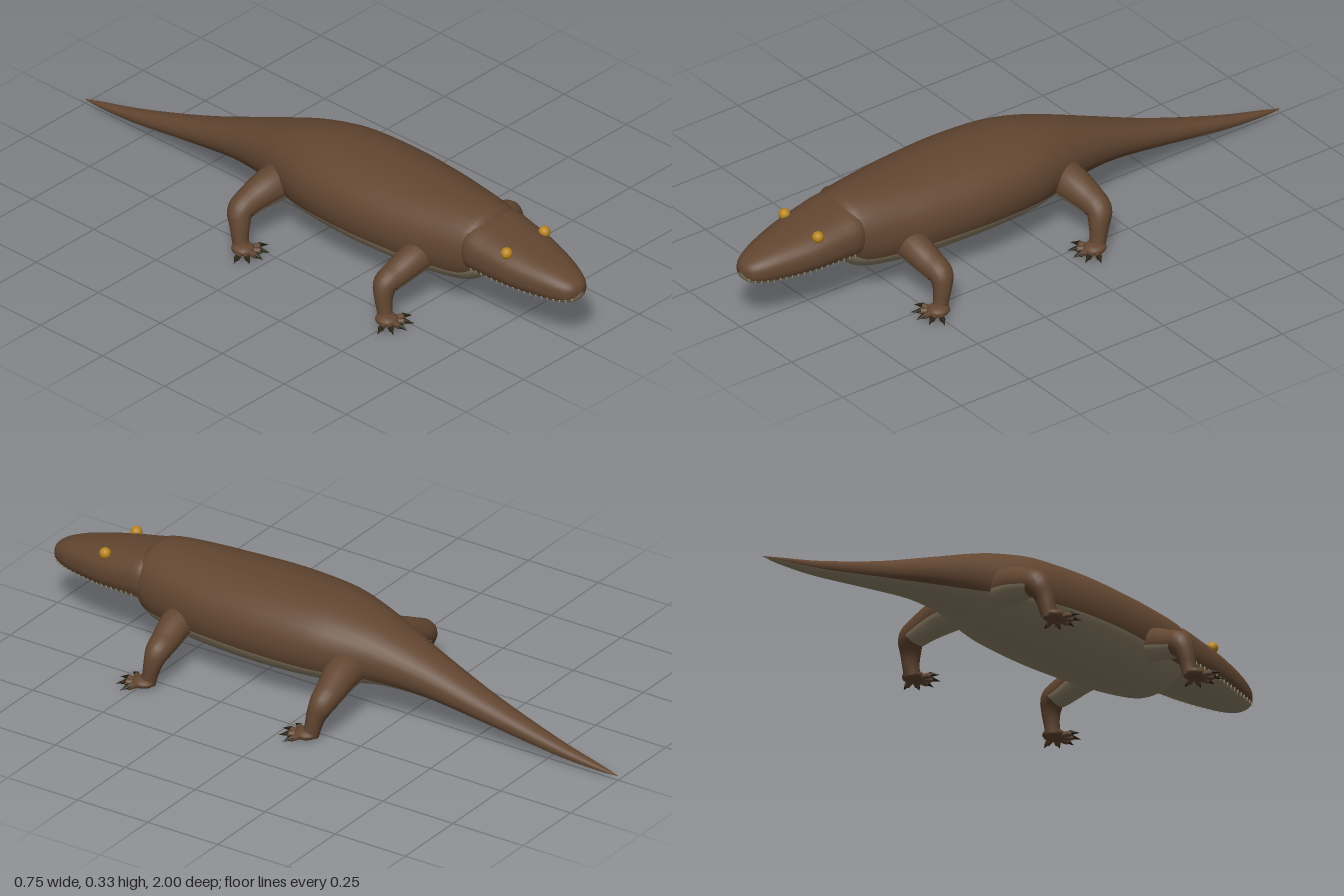
import * as THREE from 'three';

const mat = (name, color) => {
  const m = new THREE.MeshStandardMaterial({ color });
  m.name = name;
  return m;
};

// Skin over closed rings of points; isPale(row, column) picks the second material
function loft(rings, isPale) {
  const n = rings[0].length, geo = new THREE.BufferGeometry();
  const faces = [[], []];
  for (let i = 0; i < rings.length - 1; i++) {
    for (let j = 0; j < n; j++) {
      const a = i * n + j, b = i * n + (j + 1) % n, c = a + n, d = b + n;
      faces[isPale(i, j) ? 1 : 0].push(a, c, b, b, c, d);
    }
  }
  geo.setFromPoints(rings.flat());
  geo.setIndex([...faces[0], ...faces[1]]);
  geo.addGroup(0, faces[0].length, 0);
  geo.addGroup(faces[0].length, faces[1].length, 1);
  geo.computeVertexNormals();
  return geo;
}

// Smoothly resample a list of stations
function resample(stations, steps) {
  const size = stations[0].length;
  const curve = new THREE.CubicInterpolant(stations.map((_, i) => i), stations.flat(), size);
  const count = (stations.length - 1) * steps;
  return Array.from({ length: count + 1 }, (_, i) => Array.from(curve.evaluate(i / steps)));
}

// Rounded cross-sections [z, half width, top, bottom, colour line]; first half of each ring is the back
const SIDES = 40;
function trunkRings(stations, power) {
  const e = 2 / power;
  const bend = (v, p) => Math.sign(v) * Math.abs(v) ** p;
  return resample(stations, 4).map(([z, w, top, bottom, line]) => {
    const cy = (top + bottom) / 2, ry = Math.max((top - bottom) / 2, 0.0005);
    const k = THREE.MathUtils.clamp((line - cy) / ry, -0.95, 0.95);
    const a0 = Math.asin(bend(k, 1 / e)), half = SIDES / 2;
    return Array.from({ length: SIDES }, (_, j) => {
      const t = j < half
        ? a0 + (Math.PI - 2 * a0) * j / half
        : Math.PI - a0 + (Math.PI + 2 * a0) * (j - half) / half;
      return new THREE.Vector3(Math.max(w, 0.0005) * bend(Math.cos(t), e), cy + ry * bend(Math.sin(t), e), z);
    });
  });
}

const BODY = [
  [0.67, 0.06, 0.27, 0.15, 0.18],
  [0.645, 0.112, 0.312, 0.115, 0.16],
  [0.6, 0.133, 0.325, 0.083, 0.145],
  [0.5, 0.155, 0.33, 0.068, 0.145],
  [0.38, 0.175, 0.332, 0.063, 0.15],
  [0.2, 0.186, 0.335, 0.062, 0.15],
  [0.02, 0.175, 0.328, 0.068, 0.145],
  [-0.1, 0.145, 0.306, 0.08, 0.14],
  [-0.2, 0.113, 0.275, 0.095, 0.133],
  [-0.35, 0.078, 0.218, 0.092, 0.115],
  [-0.55, 0.05, 0.142, 0.062, 0.08],
  [-0.78, 0.027, 0.07, 0.026, 0.038],
  [-0.93, 0.012, 0.033, 0.014, 0.02],
  [-1, 0, 0.016, 0.014, 0.015],
];

const HEAD = [
  [1, 0, 0.19, 0.188, 0.189],
  [0.99, 0.032, 0.212, 0.162, 0.174],
  [0.96, 0.056, 0.23, 0.15, 0.168],
  [0.9, 0.08, 0.25, 0.144, 0.167],
  [0.8, 0.107, 0.272, 0.142, 0.171],
  [0.7, 0.12, 0.292, 0.142, 0.178],
  [0.63, 0.122, 0.303, 0.145, 0.18],
  [0.6, 0.08, 0.28, 0.16, 0.18],
];

// Limb stations [x, y, z, radius] from shoulder to ankle
const FRONT_LEG = [
  [0.08, 0.165, 0.47, 0.055], [0.16, 0.153, 0.47, 0.05], [0.225, 0.13, 0.464, 0.043],
  [0.268, 0.115, 0.461, 0.038], [0.284, 0.08, 0.467, 0.029], [0.288, 0.045, 0.474, 0.024], [0.29, 0.014, 0.48, 0.023],
];
const HIND_LEG = [
  [0.06, 0.165, -0.11, 0.062], [0.15, 0.158, -0.115, 0.056], [0.22, 0.138, -0.125, 0.046],
  [0.266, 0.118, -0.127, 0.04], [0.282, 0.08, -0.115, 0.031], [0.288, 0.045, -0.108, 0.026], [0.29, 0.014, -0.1, 0.025],
];

export function createModel() {
  const skin = mat('brown skin', 0x624631);
  const belly = mat('pale belly', 0x92846a);
  const amber = mat('amber eye', 0xb8841c);
  const horn = mat('dark claw', 0x23200f);
  const ivory = mat('ivory tooth', 0xb0a688);
  const model = new THREE.Group();
  model.name = 'reptile';

  const add = (parent, name, geo, material, x = 0, y = 0, z = 0) => {
    const m = new THREE.Mesh(geo, material);
    m.name = name;
    m.position.set(x, y, z);
    parent.add(m);
    return m;
  };
  const lowerHalf = (i, j) => j >= SIDES / 2;

  // Body with tail, and head
  add(model, 'bodyAndTail', loft(trunkRings(BODY, 2.15), lowerHalf), [skin, belly]);
  const headRings = trunkRings(HEAD, 2.5);
  add(model, 'head', loft(headRings, lowerHalf), [skin, belly]);

  // Teeth along the mouth line
  const tooth = new THREE.ConeGeometry(0.0035, 0.014, 5).rotateX(Math.PI);
  const teeth = new THREE.Group();
  teeth.name = 'teeth';
  model.add(teeth);
  for (const column of [0, SIDES / 2]) {
    const gum = new THREE.CatmullRomCurve3(headRings.slice(4, 23).map(r => r[column]));
    gum.getSpacedPoints(18).forEach(p => add(teeth, 'tooth', tooth, ivory, p.x, p.y - 0.005, p.z));
  }

  // Eyes
  for (const side of [1, -1]) {
    add(model, side > 0 ? 'leftEye' : 'rightEye', new THREE.SphereGeometry(0.018, 16, 12), amber,
      side * 0.082, 0.268, 0.775);
  }

  // Legs with feet, toes and claws
  const toeGeo = new THREE.CapsuleGeometry(0.0095, 0.035, 4, 8).rotateX(Math.PI / 2);
  const clawGeo = new THREE.ConeGeometry(0.0085, 0.032, 8).rotateX(Math.PI / 2 + 0.2);
  function leg(name, stations, side) {
    const group = new THREE.Group();
    group.name = name;
    model.add(group);
    const path = resample(stations, 4), n = 20;
    const centres = path.map(([x, y, z]) => new THREE.Vector3(side * x, y, z));
    const rings = path.map(([, , , r], i) => {
      const d = centres[Math.min(i + 1, path.length - 1)].clone().sub(centres[Math.max(i - 1, 0)]).normalize();
      const u = new THREE.Vector3(0, 0, 1).addScaledVector(d, -d.z).normalize();
      const v = u.clone().cross(d);
      return Array.from({ length: n }, (_, j) => {
        const t = j / n * Math.PI * 2;
        return centres[i].clone().addScaledVector(u, r * Math.cos(t)).addScaledVector(v, r * Math.sin(t));
      });
    });
    // Pale underside as far as the elbow or knee
    const pale = (i, j) => i < 11 && side * Math.sin((j + 0.5) / n * Math.PI * 2) < -0.25;
    add(group, 'limb', loft(rings, pale), [skin, belly]);

    const [ax, , az] = stations[stations.length - 1];
    const foot = new THREE.Group();
    foot.name = 'foot';
    foot.position.set(side * (ax + 0.007), 0, az + 0.012);
    group.add(foot);
    add(foot, 'sole', new THREE.SphereGeometry(1, 16, 10).scale(0.034, 0.017, 0.036), skin, 0, 0.018, 0);
    for (let k = -2; k <= 2; k++) {
      const toe = new THREE.Group();
      toe.name = 'toe';
      toe.rotation.y = k * 0.58;
      foot.add(toe);
      add(toe, 'toePad', toeGeo, skin, 0, 0.014, 0.033);
      add(toe, 'claw', clawGeo, horn, 0, 0.014, 0.067);
    }
  }
  for (const side of [1, -1]) {
    const label = side > 0 ? 'left' : 'right';
    leg(label + 'FrontLeg', FRONT_LEG, side);
    leg(label + 'HindLeg', HIND_LEG, side);
  }
  return model;
}
